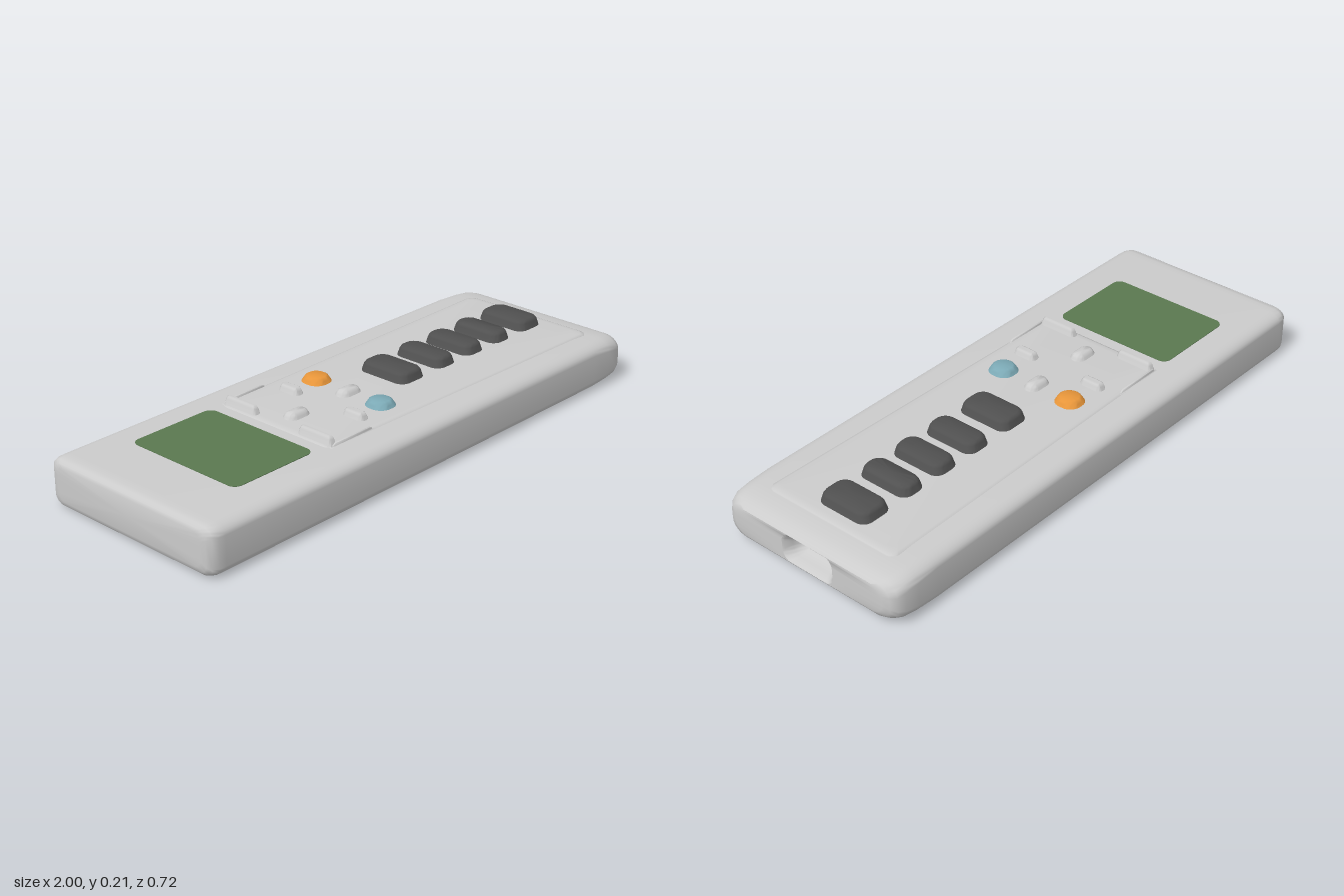
import * as THREE from 'three';
import { toCreasedNormals } from 'three/addons/utils/BufferGeometryUtils.js';

// Rounded-rectangle outline, counter-clockwise, half sizes a and b, corner radii ra and rb
function outline(a, b, ra, rb = ra, n = 8) {
  const pts = [];
  const signs = [[1, 1], [-1, 1], [-1, -1], [1, -1]];
  signs.forEach(([sx, sy], q) => {
    for (let i = 0; i <= n; i++) {
      const t = (q + i / n) * Math.PI / 2;
      pts.push([sx * (a - ra) + ra * Math.cos(t), sy * (b - rb) + rb * Math.sin(t)]);
    }
  });
  return pts;
}

// Skin a stack of rings (arrays of [x, y, z]) and close both ends
function loft(rings, crease = 0.7) {
  const n = rings[0].length, pos = [], index = [];
  rings.forEach(r => r.forEach(p => pos.push(...p)));
  for (let k = 0; k < rings.length - 1; k++) {
    for (let i = 0; i < n; i++) {
      const a = k * n + i, b = k * n + (i + 1) % n;
      index.push(a, b, b + n, a, b + n, a + n);
    }
  }
  [0, rings.length - 1].forEach((k, end) => {
    const c = [0, 1, 2].map(d => rings[k].reduce((s, p) => s + p[d], 0) / n);
    const ci = pos.length / 3;
    pos.push(...c);
    for (let i = 0; i < n; i++) {
      const a = k * n + i, b = k * n + (i + 1) % n;
      if (end) index.push(ci, a, b); else index.push(ci, b, a);
    }
  });
  const g = new THREE.BufferGeometry();
  g.setAttribute('position', new THREE.Float32BufferAttribute(pos, 3));
  g.setIndex(index);
  return toCreasedNormals(g, crease);
}

const grey = new THREE.MeshStandardMaterial({ color: 0xcccccc });
const dark = new THREE.MeshStandardMaterial({ color: 0x505050 });
const green = new THREE.MeshStandardMaterial({ color: 0x5a7850 });
const orange = new THREE.MeshStandardMaterial({ color: 0xe8963a });
const blue = new THREE.MeshStandardMaterial({ color: 0x7caab6 });

function add(group, name, geometry, material = grey) {
  const mesh = new THREE.Mesh(geometry, material);
  mesh.name = name;
  group.add(mesh);
  return mesh;
}

// Body cross-section at x: half width, bottom, top, corner radii across and up
function section([x, w, lo, hi, rz, ry]) {
  // (z, y) order is mirrored so the rings wind outward along +x
  return outline(w, (hi - lo) / 2, rz, ry).map(([u, v]) => [x, (lo + hi) / 2 + v, -u]);
}

// Soft-edged key: a flared foot, steep flank and a rounded top
function keyGeometry(w, l, height, r) {
  const base = 0.158;
  const levels = [[0, 0], [0.008, 0], [0.011, 0.003], [height - base - 0.011, 0.009],
    [height - base - 0.004, 0.013], [height - base, 0.02]];
  return loft(levels.map(([y, inset]) => {
    const a = Math.max(w / 2 - inset, 0.003), b = Math.max(l / 2 - inset, 0.003);
    const rad = Math.min(r, a, b);
    return outline(a, b, rad).map(([u, v]) => [u, base + y, -v]);
  }), 1.2);
}

export function createModel() {
  const model = new THREE.Group();

  // Case, lofted along x; the last rings fold inward to form the end recess
  add(model, 'body', loft([
    [-1.0, 0.315, 0.03, 0.145, 0.03, 0.03],
    [-0.996, 0.335, 0.016, 0.156, 0.035, 0.03],
    [-0.985, 0.35, 0.006, 0.163, 0.04, 0.03],
    [-0.965, 0.358, 0.001, 0.166, 0.045, 0.032],
    [-0.94, 0.36, 0, 0.167, 0.05, 0.034],
    [0, 0.36, 0, 0.167, 0.05, 0.034],
    [0.82, 0.36, 0, 0.167, 0.055, 0.036],
    [0.9, 0.36, 0.003, 0.164, 0.06, 0.04],
    [0.95, 0.357, 0.008, 0.159, 0.06, 0.042],
    [0.975, 0.348, 0.014, 0.152, 0.06, 0.044],
    [0.992, 0.332, 0.024, 0.144, 0.055, 0.044],
    [1.0, 0.308, 0.036, 0.136, 0.05, 0.04],
    [0.999, 0.106, 0.034, 0.136, 0.035, 0.035],
    [0.993, 0.1, 0.038, 0.131, 0.034, 0.034],
    [0.97, 0.09, 0.044, 0.122, 0.032, 0.032],
    [0.945, 0.083, 0.049, 0.116, 0.028, 0.028],
    [0.935, 0.074, 0.056, 0.109, 0.022, 0.022],
  ].map(section)));

  // Slightly raised key panel, widening toward the recessed end
  add(model, 'keyPanel', loft([[0.16, 0], [0.167, 0.003], [0.1705, 0.012], [0.172, 0.03]].map(([y, inset]) =>
    outline(0.65 - inset, 0.245 - inset, 0.03).map(([u, v]) => {
      const x = 0.255 + u;
      return [x, y, -v * (1 + 0.1 * Math.max(0, x))];
    })), 1.2));

  // Display
  const screen = loft([0.16, 0.169].map(y =>
    outline(0.167, 0.23, 0.03, 0.03).map(([u, v]) => [u, y, -v])));
  add(model, 'screen', screen, green).position.set(-0.602, 0, -0.01);

  const addKey = (name, x, z, w, l, height, r, material) => {
    add(model, name, keyGeometry(w, l, height, r), material).position.set(x, 0, z);
  };

  // Row of large dark keys
  [[0.17, 0.13], [0.34, 0.11], [0.49, 0.11], [0.637, 0.105], [0.797, 0.13]].forEach(([x, w], i) =>
    addKey('darkKey' + (i + 1), x, -0.003, w, 0.21, 0.206, 0.035, dark));

  // Mirrored corner bars, lips and narrow keys
  for (const s of [-1, 1]) {
    const side = s > 0 ? 'Front' : 'Back';
    addKey('cornerBar' + side, -0.367, s * 0.165, 0.04, 0.155, 0.2, 0.02, grey);
    addKey('panelLip' + side, -0.285, s * 0.238, 0.2, 0.014, 0.178, 0.007, grey);
    addKey('narrowKey' + side, -0.168, s * 0.143, 0.052, 0.1, 0.196, 0.026, grey);
  }

  // Small oval keys on the centre line
  [-0.29, -0.05].forEach((x, i) => addKey('ovalKey' + (i + 1), x, 0, 0.105, 0.068, 0.19, 0.034, grey));

  // Coloured keys
  addKey('orangeKey', -0.048, -0.143, 0.102, 0.104, 0.193, 0.04, orange);
  addKey('blueKey', -0.048, 0.141, 0.102, 0.104, 0.193, 0.04, blue);

  return model;
}
